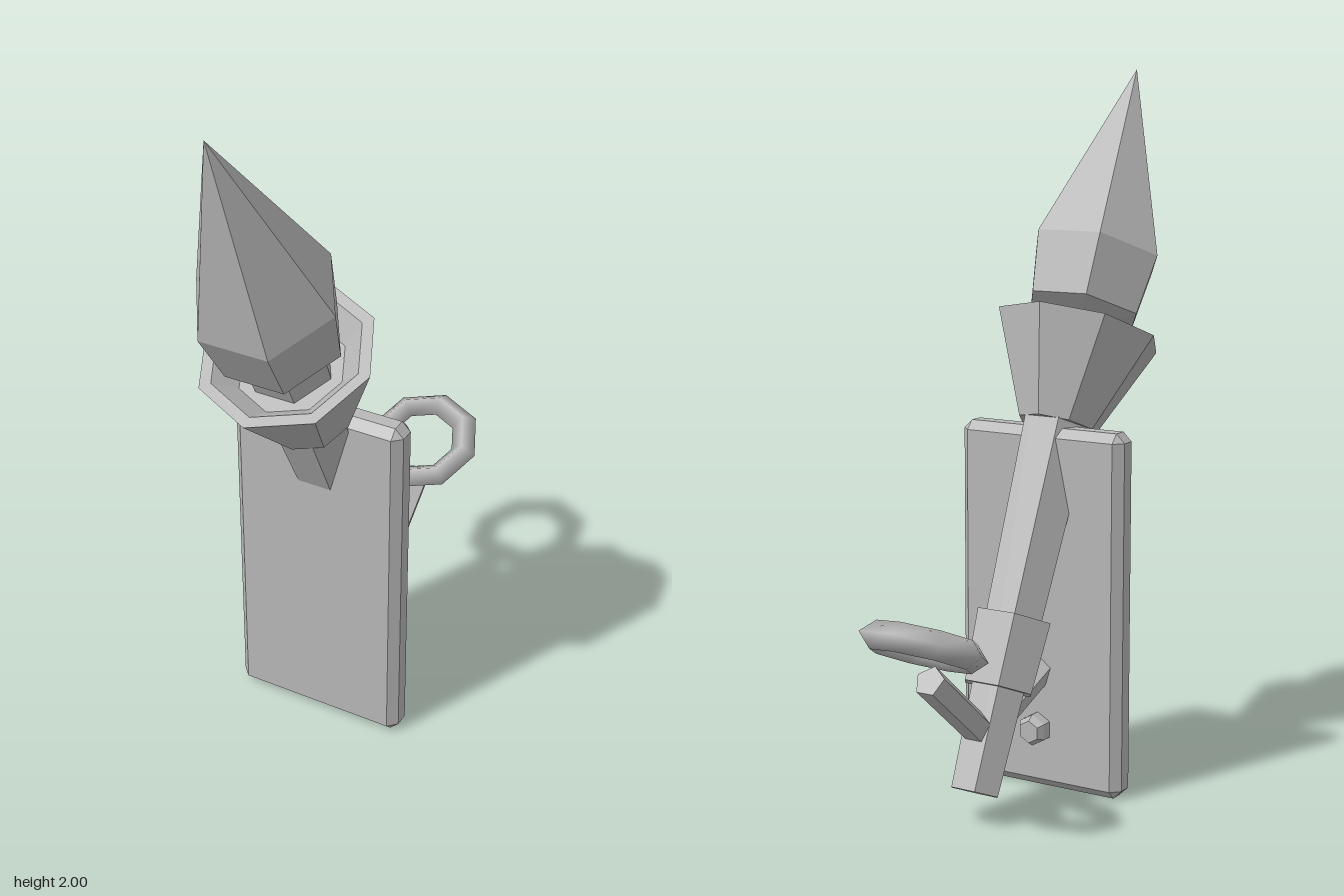
import * as THREE from 'three';
import { ConvexGeometry } from 'three/addons/geometries/ConvexGeometry.js';

const V2 = (r, y) => new THREE.Vector2(r, y);
const V3 = (x, y, z) => new THREE.Vector3(x, y, z);

// Give every facet its own flat normal
function faceted(geometry) {
  const g = geometry.index ? geometry.toNonIndexed() : geometry;
  g.computeVertexNormals();
  return g;
}

// Faceted turned part; profile is [radius, height] pairs, outside from bottom to top
function turned(profile, sides, start = 0) {
  const points = profile.map(([r, y]) => V2(r, y));
  return faceted(new THREE.LatheGeometry(points, sides, start));
}

// Box with all edges chamfered
function chamferedBox(w, h, d, c) {
  const points = [];
  for (const sx of [-1, 1]) for (const sy of [-1, 1]) for (const sz of [-1, 1]) {
    const x = sx * w / 2, y = sy * h / 2, z = sz * d / 2;
    points.push(V3(x, y - sy * c, z - sz * c));
    points.push(V3(x - sx * c, y, z - sz * c));
    points.push(V3(x - sx * c, y - sy * c, z));
  }
  return faceted(new ConvexGeometry(points));
}

export function createModel() {
  const model = new THREE.Group();
  model.name = 'wallTorch';
  const grey = new THREE.MeshStandardMaterial({ color: 0xb8b8b8 });
  grey.name = 'plain grey';

  function add(parent, name, geometry) {
    const mesh = new THREE.Mesh(geometry, grey);
    mesh.name = name;
    parent.add(mesh);
    return mesh;
  }

  // Straight five-sided bar between two points
  function bar(name, from, to, radius) {
    const dir = to.clone().sub(from);
    const mesh = add(model, name, faceted(new THREE.CylinderGeometry(radius, radius, dir.length(), 5)));
    mesh.position.copy(from).add(to).multiplyScalar(0.5);
    mesh.quaternion.setFromUnitVectors(V3(0, 1, 0), dir.normalize());
  }

  // Wall plate
  add(model, 'wallPlate', chamferedBox(0.51, 1.03, 0.09, 0.025)).position.set(0, 0.515, 0.13);

  // Leaning torch, built upright along its own axis
  const torch = new THREE.Group();
  torch.name = 'torch';
  torch.position.set(0, 0.0875, -0.2475);
  torch.rotation.x = Math.atan2(0.8925, 1.9125);
  model.add(torch);
  const side = Math.PI / 2;
  add(torch, 'handle', turned([[0, 0], [0.073, 0], [0.116, 1.33], [0, 1.33]], 6, side));
  add(torch, 'collar', turned([[0, 0.284], [0.105, 0.284], [0.116, 0.481], [0, 0.481]], 6, side));
  add(torch, 'cup', turned(
    [[0, 1.03], [0.112, 1.03], [0.238, 1.312], [0.205, 1.312], [0.145, 1.25], [0, 1.25]], 8));
  add(torch, 'flame', turned([[0, 1.32], [0.08, 1.335], [0.17, 1.371], [0.196, 1.544], [0, 2.11]], 6, side));

  // Bent support running from the plate, behind the handle, up to the ring
  const bend = V3(0, 0.237, -0.2);
  bar('lowerBracketArm', V3(0, 0.345, 0.1), bend, 0.043);
  bar('upperBracketArm', bend, V3(0, 0.453, -0.46), 0.043);

  // Tilted ring, smooth shaded
  const ring = add(model, 'ring', new THREE.TorusGeometry(0.136, 0.038, 4, 8));
  ring.position.set(0, 0.549, -0.482);
  ring.rotation.x = torch.rotation.x - Math.PI / 2;

  // Small stud on the back of the plate
  const stud = add(model, 'stud', turned([[0, 0], [0.045, 0], [0.045, 0.035], [0.032, 0.055], [0, 0.055]], 6));
  stud.position.set(0, 0.175, 0.09);
  stud.rotation.x = -Math.PI / 2;

  return model;
}
